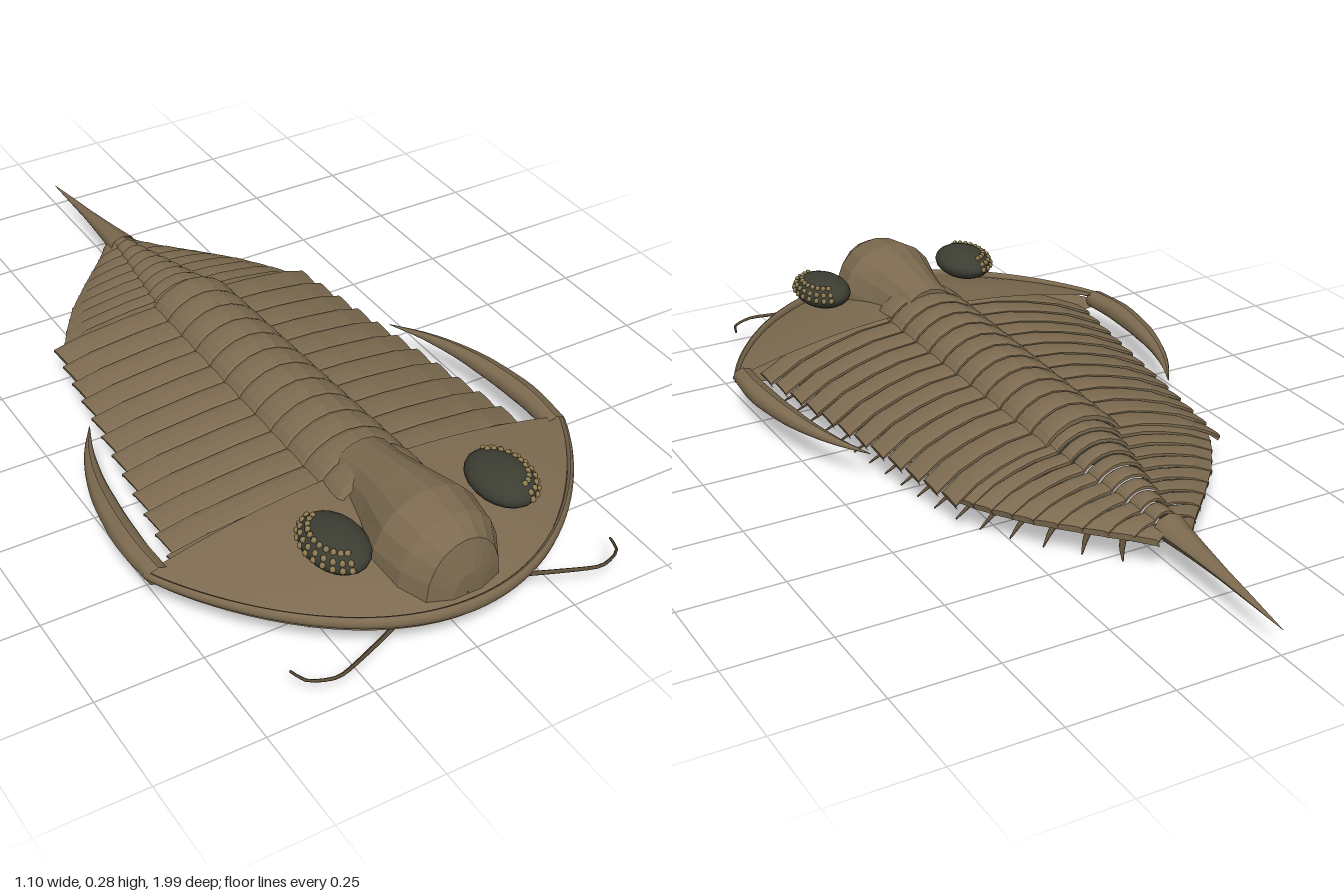
import * as THREE from 'three';

const mat = (color, flatShading = false) =>
  new THREE.MeshStandardMaterial({ color, flatShading, side: THREE.DoubleSide });
const SHELL = mat(0x7d6b50), PLATE = mat(0x7d6b50, true), LIMB = mat(0x5f4f3a);
const EYE = mat(0x3d3e33), LENS = mat(0x8f7c52), BELLY = mat(0x3a3b33);
const V = (x, y, z) => new THREE.Vector3(x, y, z);

function add(parent, name, geometry, material) {
  const m = new THREE.Mesh(geometry, material);
  m.name = name;
  parent.add(m);
  return m;
}

// Skin over rows of points, all rows the same length
function loft(rows) {
  const n = rows[0].length, index = [];
  for (let i = 0; i < rows.length - 1; i++)
    for (let j = 0; j < n - 1; j++) {
      const a = i * n + j, b = a + n;
      index.push(a, b, a + 1, b, b + 1, a + 1);
    }
  const g = new THREE.BufferGeometry().setFromPoints(rows.flat());
  g.setIndex(index);
  g.computeVertexNormals();
  return g;
}

// Tube along a smooth path whose radius follows a list of values
function taper(points, radii, steps = 8, sides = 6, flat = 1) {
  const curve = new THREE.CatmullRomCurve3(points);
  const g = new THREE.TubeGeometry(curve, steps, 1, sides);
  const p = g.attributes.position, v = V();
  for (let i = 0; i < p.count; i++) {
    const t = Math.floor(i / (sides + 1)) / steps, k = t * (radii.length - 1);
    const a = Math.min(Math.floor(k), radii.length - 2);
    const r = THREE.MathUtils.lerp(radii[a], radii[a + 1], k - a);
    const c = curve.getPointAt(t);
    v.fromBufferAttribute(p, i).sub(c).multiplyScalar(r);
    p.setXYZ(i, c.x + v.x, c.y + v.y * flat, c.z + v.z);
  }
  g.computeVertexNormals();
  return g;
}

// Linear lookup in a table of [z, value], z falling
function lookup(table, z) {
  for (let i = 0; i < table.length - 1; i++) {
    const [z0, a] = table[i], [z1, b] = table[i + 1];
    if (z >= z1) return THREE.MathUtils.lerp(a, b, Math.max(0, (z0 - z) / (z0 - z1)));
  }
  return table[table.length - 1][1];
}
const tailWidth = [[-0.2, 0.345], [-0.25, 0.33], [-0.32, 0.29], [-0.4, 0.235],
  [-0.5, 0.145], [-0.56, 0.085], [-0.62, 0.035]];
const bodyWidth = z => z > -0.2 ? 0.455 - 0.134 * Math.max(0, 0.53 - z) : lookup(tailWidth, z);

// One three-lobed ring: raised axis in the middle, ribs sloping to each side
function ring({ z, len, w0, w1, axis, top, rib, edge, sweep, step }) {
  const profile = [[1, 0], [0.75, 0.45], [0.5, 0.72], [0.25, 0.92], [0, 1]];
  const arch = [0.88, 0.68, 0.36];
  const rows = [[0, -step], [0.2, -0.1 * step], [0.55, 0.1 * step], [0.9, 0], [1.08, -0.35 * step], [1.08, -1.3 * step]];
  return loft(rows.map(([t, dy]) => {
    const w = THREE.MathUtils.lerp(w0, w1, Math.min(t, 1)), zz = z - len * t;
    const half = [V(w * 0.985, edge - 0.015, zz - sweep)];
    for (const [u, h] of profile) {
      const x = axis + (w - axis) * u;
      half.push(V(x, edge + (rib - edge) * h + dy * (1 - 0.5 * u), zz - sweep * u * u));
    }
    for (const a of arch)
      half.push(V(axis * a, rib + (top - rib) * (1 - a * a) ** 0.8 + dy, zz));
    const mirror = half.map(p => V(-p.x, p.y, p.z)).reverse();
    return [...half, V(0, top + dy, zz), ...mirror];
  }));
}

// Head shield outline
const headEdge = a => [0.535 * Math.cos(a), 0.415 * Math.abs(Math.sin(a)) ** 1.7];
function headSurface(height) {
  const rows = [];
  for (let i = 0; i <= 10; i++) {
    const r = i / 10, row = [];
    for (let j = 0; j <= 40; j++) {
      const [x, z] = headEdge(Math.PI * j / 40);
      row.push(V(x * r, height(r), 0.565 + z * r));
    }
    rows.push(row);
  }
  return loft(rows);
}

function buildHead(root) {
  const head = new THREE.Group();
  head.name = 'head';
  root.add(head);
  add(head, 'headShield', headSurface(r => 0.102 + 0.076 * (1 - r ** 2)), SHELL);
  add(head, 'headUnderside', headSurface(r => 0.072 + 0.014 * r ** 8), SHELL);
  const rim = [];
  for (let j = 0; j <= 32; j++) {
    const [x, z] = headEdge(Math.PI * j / 32);
    rim.push(V(x, 0.097 + 0.01 * Math.sin(Math.PI * j / 32), 0.565 + z));
  }
  add(head, 'headRim', taper(rim, [0.007, 0.011, 0.007], 64, 8, 1.5), SHELL);

  // Swollen central lobe, as half-ellipse sections [z, half width, top]
  const lobe = [[0.55, 0.001, 0.15], [0.55, 0.092, 0.236], [0.62, 0.09, 0.25], [0.7, 0.105, 0.266],
    [0.8, 0.138, 0.279], [0.88, 0.125, 0.268], [0.935, 0.09, 0.243], [0.953, 0.035, 0.165], [0.953, 0.001, 0.12]];
  add(head, 'centralLobe', loft(lobe.map(([z, w, h]) => {
    const row = [];
    for (let j = 0; j <= 10; j++) {
      const a = Math.PI * j / 10;
      row.push(V(w * Math.cos(a), 0.11 + (h - 0.11) * Math.max(0, Math.sin(a)) ** 0.85, z));
    }
    return row;
  })), PLATE);

  const mouth = add(head, 'mouthPlate', new THREE.SphereGeometry(1, 16, 10), EYE);
  mouth.scale.set(0.09, 0.024, 0.075);
  mouth.position.set(0, 0.073, 0.8);

  for (const s of [1, -1]) {
    // Compound eye with rows of lenses on its outer side
    const eye = new THREE.Group();
    eye.name = s > 0 ? 'leftEye' : 'rightEye';
    eye.position.set(s * 0.208, 0.2, 0.77);
    head.add(eye);
    add(eye, 'eyeBody', new THREE.SphereGeometry(1, 20, 12), EYE).scale.set(0.069, 0.039, 0.096);
    for (let r = 0; r < 3; r++)
      for (let j = 0; j < 11; j++) {
        const lat = 0.05 + r * 0.36, az = (j / 10 - 0.5) * 2.7;
        const lens = add(eye, 'lens', new THREE.SphereGeometry(0.0075, 6, 4), LENS);
        lens.position.set(s * 0.068 * Math.cos(lat) * Math.cos(az), 0.039 * Math.sin(lat),
          0.095 * Math.cos(lat) * Math.sin(az));
      }
    // Cheek spine sweeping back from the corner of the head
    add(head, 'cheekSpine', taper([V(s * 0.512, 0.096, 0.58), V(s * 0.518, 0.098, 0.46),
      V(s * 0.495, 0.096, 0.27), V(s * 0.455, 0.092, 0.14), V(s * 0.41, 0.088, 0.05)],
      [0.028, 0.031, 0.026, 0.015, 0.001], 18, 8, 0.8), SHELL);
    // Feeler
    add(head, 'antenna', taper([V(s * 0.06, 0.07, 0.88), V(s * 0.22, 0.07, 0.95), V(s * 0.32, 0.066, 0.983),
      V(s * 0.335, 0.066, 0.983), V(s * 0.385, 0.064, 0.96), V(s * 0.4, 0.062, 0.92)],
      [0.006, 0.005, 0.003], 20, 5), LIMB);
  }
}

function buildBody(root) {
  // Neck ring tucked under the head, then eleven thorax rings
  for (let i = -1; i < 11; i++) {
    const t = i / 10, z = 0.57 - 0.0715 * i, w = 0.452 - 0.0102 * i;
    add(root, i < 0 ? 'neckRing' : 'thoraxRing', ring({ z, len: 0.0715, w0: w - 0.003, w1: w + 0.001,
      axis: 0.112 - 0.014 * t, top: 0.226 - 0.02 * t, rib: 0.168 - 0.013 * t, edge: 0.088, sweep: 0.042, step: 0.012 }), PLATE);
  }
  // Nine fused tail rings
  for (let i = 0; i < 9; i++) {
    const t = i / 8, len = 0.0455, z = -0.2 - len * i, sweep = 0.03 * (1 - t);
    add(root, 'tailRing', ring({ z, len, w0: bodyWidth(z - sweep), w1: bodyWidth(z - sweep - len),
      axis: 0.085 * (1 - t) + 0.018 * t, top: 0.186 - 0.07 * t, rib: 0.148 - 0.046 * t,
      edge: 0.088 - 0.004 * t, sweep, step: 0.009 - 0.003 * t }), PLATE);
  }
  add(root, 'tailSpine', taper([V(0, 0.094, -0.58), V(0, 0.085, -0.72), V(0, 0.074, -0.86), V(0, 0.062, -1)],
    [0.038, 0.025, 0.015, 0.008, 0.0005], 10, 8, 0.8), SHELL);
  // Broad flat belly skin
  add(root, 'belly', loft([[0.56, 0.19], [0.3, 0.2], [0, 0.185], [-0.21, 0.15]].map(([z, w]) =>
    [V(-w, 0.09, z), V(-w * 0.8, 0.063, z), V(w * 0.8, 0.063, z), V(w, 0.09, z)])), BELLY);
}

function buildLimbs(root) {
  for (let i = 0; i < 20; i++) {
    const z = 0.815 - 0.069 * i, onHead = i < 3;
    const reach = onHead ? 0.27 + 0.04 * i : Math.max(0.07, bodyWidth(z - 0.05) * 0.93 - 0.01);
    const inner = Math.min(0.09, reach * 0.4), span = reach - inner;
    for (const s of [1, -1]) {
      // Walking leg, curling backward at the tip
      add(root, 'leg', taper([V(s * inner, 0.08, z), V(s * (inner + span * 0.35), 0.052, z + 0.005),
        V(s * (inner + span * 0.7), 0.024, z - 0.008), V(s * reach, 0.004, z - 0.035)],
        [0.01, 0.009, 0.007, 0.002], 9, 6), LIMB);
      if (onHead) continue;
      // Gill branch with a comb of filaments
      const end = reach * 0.98;
      add(root, 'gillBranch', taper([V(s * inner, 0.085, z), V(s * (inner + end) / 2, 0.078, z - 0.01),
        V(s * end, 0.07, z - 0.025)], [0.008, 0.008, 0.003], 5, 5, 0.6), LIMB);
      for (let k = 1; k <= 7; k++) {
        const t = k / 7.5;
        const f = add(root, 'gillFilament', new THREE.BoxGeometry(0.004, 0.003, 0.04), LIMB);
        f.position.set(s * (inner + (end - inner) * t), 0.078 - 0.012 * t, z - 0.02 - 0.015 * t);
        f.rotation.set(-0.15, -s * 0.2, 0);
      }
    }
  }
}

export function createModel() {
  const root = new THREE.Group();
  root.name = 'armouredSeaArthropod';
  buildHead(root);
  buildBody(root);
  buildLimbs(root);
  return root;
}
